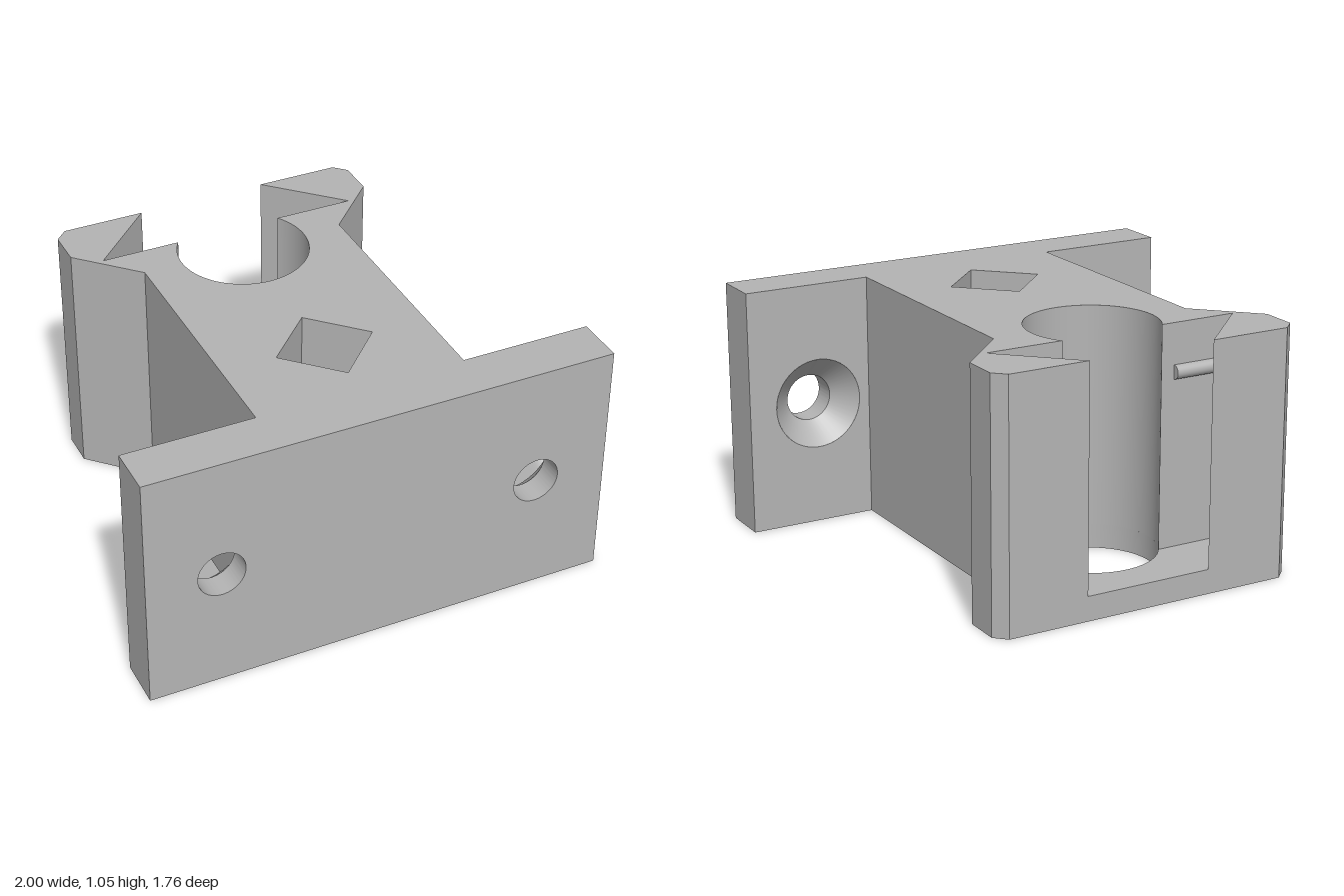
import * as THREE from 'three';
import { toCreasedNormals } from 'three/addons/utils/BufferGeometryUtils.js';

const HEIGHT = 1.055, FLOOR = 0.105, BACK = -0.88, FRONT = 0.88, PLATE_Z = 0.67;
const BORE = { z: -0.44, r: 0.277 }, SLOT_Z = -0.595;
const SCREW = { x: 0.685, y: 0.53, r: 0.1, sink: 0.195, depth: 0.1 };

const points = (list) => list.map(([x, y]) => new THREE.Vector2(x, y));
const circle = (x, y, r) => new THREE.Path().absarc(x, y, r, 0, Math.PI * 2);
const diamond = () => new THREE.Path(points([[0, 0.135], [0.21, 0.345], [0, 0.555], [-0.21, 0.345]]));

function extrude(shape, depth) {
  const geo = new THREE.ExtrudeGeometry(shape, { depth, bevelEnabled: false, curveSegments: 48 });
  return toCreasedNormals(geo, 0.5);
}

// Extrudes a plan drawn in x and z between two heights
function extrudeUp(shape, y0, y1) {
  return extrude(shape, y1 - y0).rotateX(Math.PI / 2).translate(0, y1, 0);
}

export function createModel() {
  const group = new THREE.Group();
  const grey = new THREE.MeshStandardMaterial({ color: 0xb4b4b4 });
  grey.name = 'grey plastic';
  const add = (name, geo) => {
    const mesh = new THREE.Mesh(geo, grey);
    mesh.name = name;
    group.add(mesh);
    return mesh;
  };

  // Plan of the stem with its flared, chamfered back end
  const side = [[0.63, BACK], [0.68, -0.83], [0.68, -0.675], [0.445, -0.437], [0.445, PLATE_Z]];
  const outline = [...side, ...side.map(([x, z]) => [-x, z]).reverse()];

  // Solid floor, pierced by the bore and the diamond
  const floor = new THREE.Shape(points(outline));
  floor.holes.push(circle(0, BORE.z, BORE.r), diamond());
  add('floor', extrudeUp(floor, 0, FLOOR));

  // Upper body with a dovetail slot opening into the bore
  const bite = Math.asin((BORE.z - SLOT_Z) / BORE.r);
  const body = new THREE.Shape(points([...outline, [-0.28, BACK], [-0.567, SLOT_Z]]));
  body.absarc(0, BORE.z, BORE.r, Math.PI + bite, -bite, true);
  body.lineTo(0.567, SLOT_Z);
  body.lineTo(0.28, BACK);
  body.holes.push(diamond());
  add('body', extrudeUp(body, FLOOR, HEIGHT));

  // Mounting plate in two layers: straight screw holes, then countersinks
  const plateLayer = (name, r, z0, z1) => {
    const shape = new THREE.Shape(points([[-1, 0], [1, 0], [1, HEIGHT], [-1, HEIGHT]]));
    for (const s of [-1, 1]) shape.holes.push(circle(s * SCREW.x, SCREW.y, r));
    add(name, extrude(shape, z1 - z0).translate(0, 0, z0));
  };
  const sinkZ = PLATE_Z + SCREW.depth;
  plateLayer('frontPlate', SCREW.r, sinkZ, FRONT);
  plateLayer('countersinkPlate', SCREW.sink, PLATE_Z, sinkZ);

  for (const s of [-1, 1]) {
    // Inward-facing cone of the countersink
    const cone = new THREE.LatheGeometry(points([[SCREW.r, sinkZ], [SCREW.sink, PLATE_Z]]), 48);
    add('countersink', cone.rotateX(Math.PI / 2).translate(s * SCREW.x, SCREW.y, 0));

    // Half-sunk snap ridge on the slot wall
    const ridge = new THREE.CylinderGeometry(0.03, 0.03, 0.21, 24).rotateZ(Math.PI / 2);
    add('snapRidge', ridge.translate(s * 0.395, 0.85, SLOT_Z));
  }
  return group;
}
